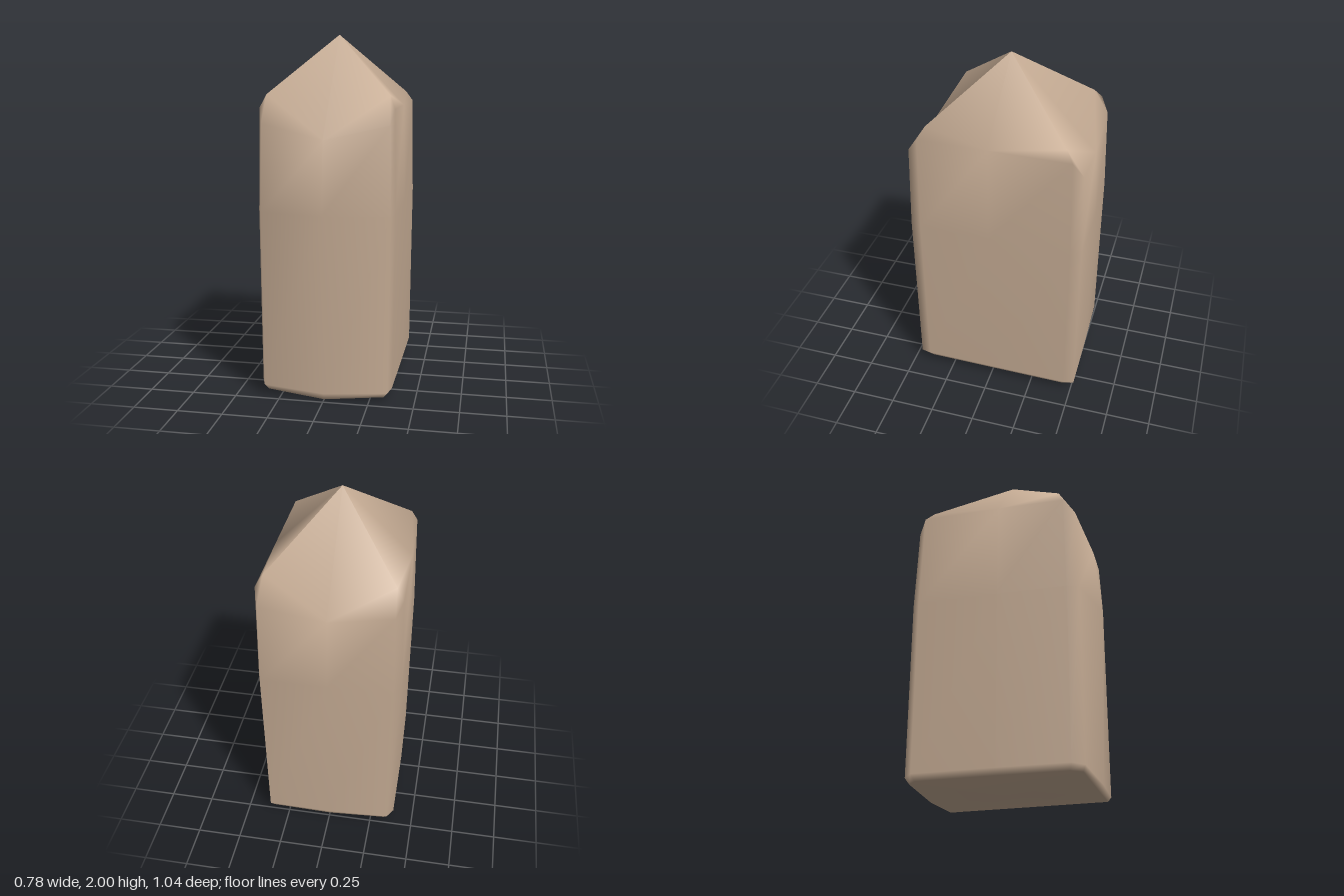
import * as THREE from 'three';

// Plan outline: side middles, chamfered corners, and ridged front and back
const plan = [
  [0.385, 0], [0.38, 0.40], [0.36, 0.46], [0, 0.52], [-0.35, 0.455], [-0.375, 0.39],
  [-0.39, 0], [-0.395, -0.46], [-0.36, -0.505], [0, -0.52], [0.37, -0.52], [0.39, -0.46],
];
const N = plan.length;

// Levels: x and z scale, z of front and back middles, heights per kind of point
const levels = [
  { sx: 0.92, sz: 0.96, front: 0.46, back: -0.49, side: 0.035, corner: 0.03, frontY: 0, backY: 0.01 },
  { sx: 0.98, sz: 0.995, front: 0.48, back: -0.51, side: 0.07, corner: 0.06, frontY: 0.04, backY: 0.045 },
  { sx: 1, sz: 1, front: 0.52, back: -0.52, side: 1.05, corner: 1.05, frontY: 1.05, backY: 1.05 },
  { sx: 0.975, sz: 0.975, front: 0.48, back: -0.50, side: 1.61, corner: 1.53, frontY: 1.45, backY: 1.47 },
];

function ringPoint([x, z], i, l) {
  if (i === 3) return [0, l.frontY, l.front];
  if (i === 9) return [0, l.backY, l.back];
  const onEnd = [2, 4, 8, 10].includes(i);
  return [x * l.sx, onEnd ? l.corner : l.side, z * l.sz];
}

function crystalGeometry() {
  const pos = [], index = [];
  const add = (p) => pos.push(...p) / 3 - 1;
  const rings = levels.map((l) => plan.map((p, i) => add(ringPoint(p, i, l))));

  // Walls and bottom bevel
  for (let k = 0; k < rings.length - 1; k++) {
    const a = rings[k], b = rings[k + 1];
    for (let i = 0; i < N; i++) {
      const j = (i + 1) % N;
      index.push(a[j], a[i], b[i], a[j], b[i], b[j]);
    }
  }

  // Shallow underside
  const sole = rings[0], centre = add([0, 0.008, 0]);
  for (let i = 0; i < N; i++) index.push(centre, sole[i], sole[(i + 1) % N]);

  // Four-sided point; each face has its own apex corner so the tip stays sharp
  const rim = rings[3];
  const crown = [[0.34, 1.68, 0.35], [-0.335, 1.68, 0.35], [-0.345, 1.665, -0.41], [0.345, 1.665, -0.41]].map(add);
  for (let f = 0; f < 4; f++) {
    const a = crown[f], b = crown[(f + 1) % 4];
    const s = 2 + f * 3, r0 = rim[s % N], r1 = rim[(s + 1) % N], r2 = rim[(s + 2) % N];
    const apex = add([0, 2, -0.02]);
    index.push(apex, r1, a, apex, b, r1, a, r1, r0, b, r2, r1);
    index.push(a, r0, rim[(s + N - 1) % N]); // corner bevel
  }

  const g = new THREE.BufferGeometry();
  g.setAttribute('position', new THREE.Float32BufferAttribute(pos, 3));
  g.setIndex(index);
  g.computeVertexNormals();
  return g;
}

export function createModel() {
  const group = new THREE.Group();
  group.name = 'pointedStone';
  const stone = new THREE.MeshStandardMaterial({ color: 0xc8ae96 });
  stone.name = 'warm beige stone';
  const body = new THREE.Mesh(crystalGeometry(), stone);
  body.name = 'stoneBody';
  group.add(body);
  return group;
}
